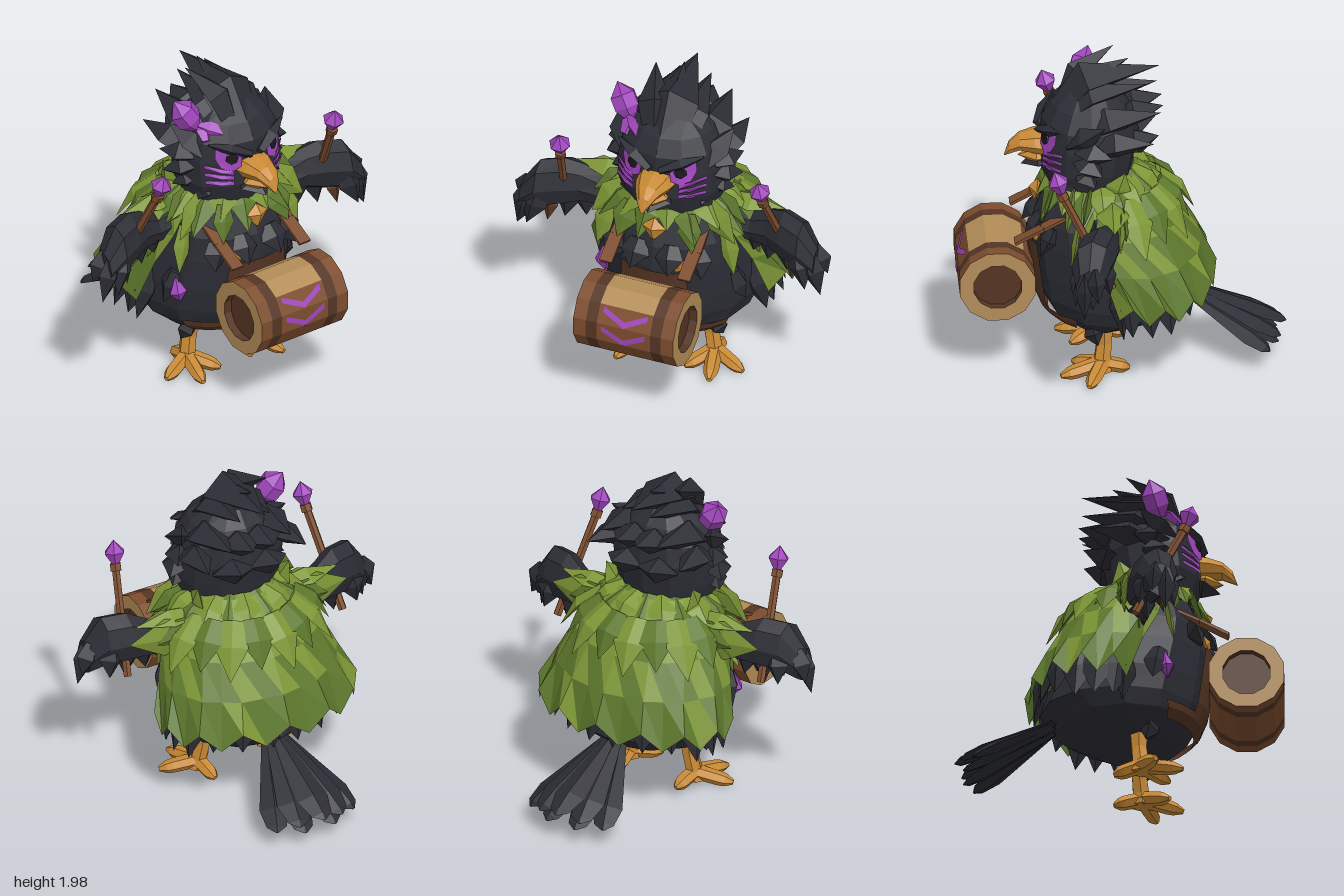
import * as THREE from 'three';
import { mergeGeometries } from 'three/addons/utils/BufferGeometryUtils.js';

const V = (x, y, z) => new THREE.Vector3(x, y, z);
const X = V(1, 0, 0), Y = V(0, 1, 0), Z = V(0, 0, 1);

// Faceted geometry from a list of triangles
function geo(tris) {
  const pos = [];
  for (const [a, b, c] of tris) {
    const area = b.clone().sub(a).cross(c.clone().sub(a)).length();
    if (area > 1e-8) for (const p of [a, b, c]) pos.push(p.x, p.y, p.z);
  }
  const g = new THREE.BufferGeometry();
  g.setAttribute('position', new THREE.Float32BufferAttribute(pos, 3));
  return g;
}

// Skin elliptical sections [x, y, z, radiusAlongS, radiusAlongN]
function loft(sections, s, n, sides = 8) {
  const rings = sections.map(([x, y, z, a, b]) => Array.from({ length: sides }, (_, i) => {
    const t = (i / sides) * Math.PI * 2;
    return V(x, y, z).addScaledVector(s, a * Math.cos(t)).addScaledVector(n, b * Math.sin(t));
  }));
  const last = rings.length - 1, mid = k => V(...sections[k].slice(0, 3)), tris = [];
  const flip = s.clone().cross(n).dot(mid(last).sub(mid(0))) < 0;
  for (let i = 0; i < sides; i++) {
    const j = (i + 1) % sides;
    for (let k = 0; k < last; k++) {
      const p = rings[k], q = rings[k + 1];
      tris.push([p[i], p[j], q[j]], [p[i], q[j], q[i]]);
    }
    tris.push([mid(0), rings[0][j], rings[0][i]], [mid(last), rings[last][i], rings[last][j]]);
  }
  return geo(flip ? tris.map(([a, b, c]) => [a, c, b]) : tris);
}

const FEATHER = [[0, 0.6], [0.45, 1], [1, 0]];
const BLUNT = [[0, 0.35], [0.75, 1], [0.94, 0.65], [1, 0.1]];
const CRYSTAL = [[0, 0.15], [0.55, 1], [1, 0]];
const ROD = [[0, 1], [1, 1]];

// Tapered piece from a to b: half width w, half thickness t, flat side facing hint
function spike(a, b, w, t, { hint = Z, bend = 0, sides = 4, profile = FEATHER } = {}) {
  const A = V(...a), B = V(...b), d = B.clone().sub(A).normalize();
  const s = hint.clone().cross(d).normalize(), n = d.clone().cross(s);
  const rows = profile.map(([u, k]) => {
    const p = A.clone().lerp(B, u).addScaledVector(n, bend * Math.sin(Math.PI * u));
    return [p.x, p.y, p.z, w * k, t * k];
  });
  return loft(rows, s, n, sides);
}

// Open curved sheet, rows [y, rx, centreZ, rz], angle measured from the front
function shell(rows, a0, a1, cols, hem = 0) {
  const grid = rows.map(([y, rx, cz, rz], k) => Array.from({ length: cols + 1 }, (_, i) => {
    const a = a0 + ((a1 - a0) * i) / cols, end = k === rows.length - 1, odd = i % 2 ? 1 : -1;
    const f = 1 + (hem ? 0.025 * odd * k / rows.length : 0);
    return V(rx * f * Math.sin(a), y + (end ? hem * odd : 0), cz + rz * f * Math.cos(a));
  }));
  const tris = [];
  for (let k = 0; k < rows.length - 1; k++) for (let i = 0; i < cols; i++) {
    const p = grid[k], q = grid[k + 1];
    tris.push([p[i], q[i], q[i + 1]], [p[i], q[i + 1], p[i + 1]]);
  }
  return tris;
}

// Head and body rings: y, half width, back z, front z
const HEAD = [[1.12, 0.22, 0, 0.4], [1.22, 0.3, -0.05, 0.46], [1.35, 0.34, -0.07, 0.5], [1.5, 0.34, -0.1, 0.49],
  [1.62, 0.31, -0.08, 0.48], [1.72, 0.25, -0.03, 0.42], [1.81, 0.13, 0.05, 0.33]];
const BODY = [[0.24, 0.14, 0, 0.24], [0.3, 0.29, -0.12, 0.34], [0.4, 0.42, -0.36, 0.45], [0.5, 0.46, -0.47, 0.5],
  [0.65, 0.46, -0.42, 0.52], [0.85, 0.42, -0.32, 0.54], [1, 0.38, -0.2, 0.52], [1.15, 0.3, -0.12, 0.46], [1.25, 0.24, -0.05, 0.4]];
const upright = rows => loft(rows.map(([y, rx, z0, z1]) => [0, y, (z0 + z1) / 2, (z1 - z0) / 2, rx]), Z, X, 12);

// Front surface depth of the head, used to lay face paint on it
function faceZ(x, y) {
  const k = HEAD.findIndex((r, i) => i < HEAD.length - 1 && y <= HEAD[i + 1][0]);
  const t = (y - HEAD[k][0]) / (HEAD[k + 1][0] - HEAD[k][0]);
  const [, rx, z0, z1] = HEAD[k].map((v, i) => v + (HEAD[k + 1][i] - v) * t);
  return (z0 + z1) / 2 + ((z1 - z0) / 2) * Math.sqrt(Math.max(0, 1 - (x / rx) ** 2));
}
const flat = pts => new THREE.ShapeGeometry(new THREE.Shape(pts.map(p => new THREE.Vector2(...p))));
function paint(pts, lift) {
  const g = flat(pts), p = g.attributes.position;
  for (let i = 0; i < p.count; i++) p.setZ(i, faceZ(p.getX(i), p.getY(i)) + lift);
  return g;
}

export function createModel() {
  const root = new THREE.Group();
  root.name = 'birdDrummer';
  const mat = (name, color, side = THREE.FrontSide) => Object.assign(new THREE.MeshStandardMaterial({ color, side }), { name });
  const black = mat('charcoal feathers', 0x2c2d35), ink = mat('eye black', 0x17171c);
  const leafLight = mat('light leaf green', 0x7d9636, THREE.DoubleSide), leafDark = mat('dark leaf green', 0x5d782c, THREE.DoubleSide);
  const purple = mat('purple', 0xa046bc, THREE.DoubleSide), orange = mat('beak orange', 0xc98a35), tan = mat('pale wood', 0xb38d58);
  const brown = mat('brown wood', 0x7d4d2e, THREE.DoubleSide), dark = mat('dark wood', 0x553524, THREE.DoubleSide);

  const part = (name, material, geos) => {
    const clean = geos.map(g => {
      const f = g.index ? g.toNonIndexed() : g;
      f.deleteAttribute('uv');
      f.computeVertexNormals();
      return f;
    });
    const mesh = new THREE.Mesh(mergeGeometries(clean), material);
    mesh.name = name;
    root.add(mesh);
  };
  const both = fn => [1, -1].flatMap(fn);

  // Body with chest, hip and flank tufts
  part('body', black, [upright(BODY), ...both(m => [
    spike([m * 0.1, 1.02, 0.49], [m * 0.12, 0.86, 0.59], 0.09, 0.04),
    spike([m * 0.24, 0.98, 0.42], [m * 0.3, 0.83, 0.5], 0.09, 0.05),
    spike([m * 0.4, 0.76, 0.24], [m * 0.46, 0.55, 0.2], 0.08, 0.05, { hint: X }),
    spike([m * 0.25, 0.34, 0.2], [m * 0.3, 0.22, 0.16], 0.07, 0.06),
    spike([m * 0.41, 0.72, 0.06], [m * 0.52, 0.37, 0.02], 0.1, 0.06),
  ])]);

  // Head, crest and cheek tufts: base, tip, half width, half thickness, bend
  const up = { hint: Y };
  const tufts = [
    [[0.1, 1.62, 0.4], [0.1, 1.86, -0.14], 0.12, 0.08, 0.08], [[0.2, 1.55, 0.32], [0.2, 1.72, -0.22], 0.13, 0.09, 0.05],
    [[0.27, 1.5, 0.22], [0.33, 1.58, -0.17], 0.1, 0.08, 0.03], [[0.07, 1.6, 0.05], [0.07, 1.7, -0.24], 0.14, 0.08, 0.02],
    [[0.1, 1.45, 0.02], [0.13, 1.53, -0.21], 0.14, 0.08, 0], [[0.24, 1.54, 0.32], [0.355, 1.7, 0.12], 0.1, 0.07, 0],
    [[0.27, 1.52, 0.27], [0.4, 1.52, 0.08], 0.09, 0.07, 0], [[0.27, 1.46, 0.27], [0.42, 1.41, 0.14], 0.09, 0.07, 0],
    [[0.26, 1.38, 0.26], [0.38, 1.32, 0.18], 0.08, 0.06, 0], [[0.2, 1.34, 0.32], [0.3, 1.23, 0.3], 0.08, 0.06, 0],
  ];
  part('head', black, [upright(HEAD),
    spike([0, 1.58, 0.44], [-0.02, 1.92, -0.22], 0.17, 0.11, { ...up, bend: 0.15 }),
    spike([-0.06, 1.66, 0.36], [-0.18, 1.98, 0.04], 0.1, 0.08, { ...up, bend: 0.08 }),
    spike([0, 1.68, 0.32], [-0.03, 1.97, -0.04], 0.1, 0.08, { ...up, bend: 0.07 }),
    spike([0, 1.36, 0.42], [0, 1.3, 0.6], 0.11, 0.06, up),
    ...both(m => tufts.map(([[x, y, z], [u, v, w], a, b, bend]) => spike([m * x, y, z], [m * u, v, w], a, b, { ...up, bend }))),
  ]);
  part('brows', black, both(m => spike([m * 0.03, 1.545, 0.5], [m * 0.27, 1.64, 0.39], 0.035, 0.05, { profile: [[0, 0.6], [0.5, 1], [1, 0.2]] })));

  // Face paint and eyes
  const side = (m, pts) => pts.map(([x, y]) => [m * x, y]);
  part('facePaint', purple, both(m => [
    paint(side(m, [[0.09, 1.54], [0.1, 1.48], [0.15, 1.455], [0.21, 1.48], [0.235, 1.54], [0.23, 1.6], [0.16, 1.59]]), 0.01),
    ...[[1.43, 1.475], [1.4, 1.425], [1.365, 1.375]].map(([a, b]) =>
      paint(side(m, [[0.145, a], [0.21, (a + b) / 2 - 0.004], [0.285, b], [0.285, b + 0.022], [0.21, (a + b) / 2 + 0.024], [0.145, a + 0.026]]), 0.012)),
  ]));
  part('eyes', ink, both(m => paint(side(m, [[0.115, 1.55], [0.13, 1.515], [0.16, 1.505], [0.19, 1.53], [0.185, 1.56], [0.15, 1.575]]), 0.018)));

  // Hooked beak
  part('beak', orange, [
    loft([[0, 1.45, 0.4, 0.13, 0.09], [0, 1.455, 0.52, 0.11, 0.07], [0, 1.45, 0.61, 0.075, 0.05], [0, 1.41, 0.67, 0.04, 0.04], [0, 1.36, 0.7, 0.004, 0.004]], X, Y, 8),
    spike([0, 1.37, 0.42], [0, 1.36, 0.62], 0.09, 0.055, { ...up, sides: 6 }),
  ]);

  // Leaf cape in two greens
  const cols = 18, cape = shell([[1.28, 0.26, 0.12, 0.22], [1.18, 0.39, 0.1, 0.34], [1, 0.48, 0.04, 0.4], [0.8, 0.56, -0.06, 0.41], [0.57, 0.64, -0.15, 0.4]],
    Math.PI - 2.1, Math.PI + 2.1, cols, 0.055);
  // Light streaks of uneven length run down from the shoulders
  const isLight = i => Math.floor(i / (2 * cols)) < [4, 2, 3, 1, 3, 2, 1][Math.floor((i % (2 * cols) + 1) / 2) % 7];
  part('capeLight', leafLight, [geo(cape.filter((_, i) => isLight(i)))]);
  part('capeDark', leafDark, [geo(cape.filter((_, i) => !isLight(i)))]);

  // Leaf collar, a second row over the back, and sleeves
  const leaves = [[], []];
  for (let i = 0; i < 18; i++) {
    const a = ((i + 0.5) / 18) * Math.PI * 2, s = Math.sin(a), c = Math.cos(a);
    const hint = V(s, 1, c), long = i % 2 ? 0.04 : 0;
    leaves[i % 2].push(spike([0.22 * s, 1.29, 0.15 + 0.21 * c], [(0.48 + long) * s, 1.13 - long * 2, 0.13 + (0.39 + long) * c], 0.085, 0.03, { hint, bend: 0.02 }));
    if (c < 0.2) leaves[(i + 1) % 2].push(spike([0.35 * s, 1.21, 0.1 + 0.32 * c], [(0.56 + long) * s, 0.96 - long, 0.06 + (0.46 + long) * c], 0.1, 0.03, { hint, bend: 0.03 }));
  }
  both(m => {
    leaves[0].push(spike([m * 0.28, 1.17, 0.08], [m * 0.69, 1.17, 0.09], 0.1, 0.06, up), spike([m * 0.36, 1.08, 0.28], [m * 0.44, 0.79, 0.33], 0.07, 0.02),
      spike([m * 0.33, 1.08, 0.02], [m * 0.74, 1.08, 0.06], 0.13, 0.03), spike([m * 0.24, 1.25, 0.3], [m * 0.46, 1.04, 0.36], 0.1, 0.03),
      spike([m * 0.28, 1.18, 0.07], [m * 0.31, 1.38, 0], 0.08, 0.03, { hint: X }));
    leaves[1].push(spike([m * 0.3, 1.13, 0.02], [m * 0.58, 1.06, 0.01], 0.1, 0.04), spike([m * 0.36, 1.1, 0.14], [m * 0.52, 0.84, 0.12], 0.1, 0.03),
      spike([m * 0.18, 1.22, 0.42], [m * 0.24, 1.0, 0.5], 0.08, 0.02), spike([m * 0.26, 1.25, 0.2], [m * 0.49, 1.12, 0.26], 0.09, 0.03));
    return [];
  });
  part('collarLeavesLight', leafLight, leaves[0]);
  part('collarLeavesDark', leafDark, leaves[1]);

  // Dark feathers below the cape hem
  part('hemFeathers', black, both(m => [0.15, 0.5, 0.85, 1.2, 1.5, 1.8].map((a, i) => {
    const s = m * Math.sin(a), c = -Math.cos(a);
    return spike([0.48 * s, 0.76, -0.08 + 0.36 * c], [0.56 * s, 0.4 + 0.07 * (i < 3), -0.12 + 0.39 * c], 0.11, 0.04, { hint: V(s, 0, c) });
  })));

  // Wings with hanging finger feathers
  const fingers = [[0.9, 1.06, 0.22, 0.985, 0.87, 0.2], [0.88, 1.06, 0.28, 0.97, 0.76, 0.28], [0.82, 1.06, 0.28, 0.89, 0.81, 0.33],
    [0.76, 1.06, 0.2, 0.8, 0.86, 0.24], [0.68, 1.06, 0.16, 0.71, 0.8, 0.17], [0.6, 1.06, 0.15, 0.58, 0.83, 0.15], [0.5, 1.04, 0.13, 0.49, 0.87, 0.15], [0.8, 1.06, 0.16, 0.84, 0.85, 0.12]];
  part('wings', black, both(m => [
    loft([[0.28, 1.07, 0.12, 0.11, 0.11], [0.48, 1.03, 0.12, 0.1, 0.09], [0.6, 1.06, 0.14, 0.13, 0.1], [0.7, 1.07, 0.18, 0.16, 0.12],
      [0.84, 1.05, 0.23, 0.165, 0.12], [0.94, 0.96, 0.25, 0.11, 0.08]].map(([x, ...r]) => [m * x, ...r]), Y, Z, 8),
    ...fingers.map(([x, y, z, u, v, w]) => spike([m * x, y, z], [m * u, v, w], 0.08, 0.06)),
  ]));
  part('wingLinings', dark, both(m => spike([m * 0.77, 1.0, 0.22], [m * 0.78, 0.82, 0.27], 0.05, 0.03)));

  // Crystal mallets
  part('malletSticks', brown, both(m => [
    spike([m * 0.73, 0.84, 0.1], [m * 0.645, 1.44, 0.4], 0.026, 0.026, { sides: 6, profile: ROD }),
    spike([m * 0.65, 1.4, 0.38], [m * 0.645, 1.44, 0.4], 0.036, 0.036, { sides: 6, profile: ROD }),
  ]));
  const gem = { sides: 6, profile: CRYSTAL };
  part('malletCrystals', purple, both(m => spike([m * 0.645, 1.42, 0.39], [m * 0.635, 1.58, 0.44], 0.066, 0.066, gem)));

  // Head ornament, hip crystal and pendant
  part('headOrnament', purple, [
    spike([-0.25, 1.69, 0.25], [-0.37, 1.88, 0.18], 0.092, 0.092, { sides: 6, profile: [[0, 0.35], [0.3, 0.9], [0.65, 0.9], [1, 0]] }),
    spike([-0.15, 1.67, 0.38], [-0.29, 1.73, 0.25], 0.055, 0.03), spike([-0.25, 1.64, 0.35], [-0.22, 1.74, 0.24], 0.055, 0.03),
  ]);
  part('hipCrystal', purple, [spike([-0.42, 0.73, 0.27], [-0.4, 0.57, 0.29], 0.062, 0.05, gem)]);
  part('pendant', orange, [spike([0, 1.06, 0.52], [0, 1.2, 0.5], 0.08, 0.045, { profile: CRYSTAL })]);

  // Apron and belt behind the drum, hooks and shoulder straps
  part('apron', dark, [
    geo(shell([[0.86, 0.42, 0.12, 0.45], [0.65, 0.47, 0.06, 0.49], [0.5, 0.47, 0.03, 0.5], [0.4, 0.44, 0.06, 0.43]], -0.5, 0.5, 6)),
    geo(shell([[0.44, 0.46, 0.04, 0.46], [0.4, 0.44, 0.06, 0.43], [0.35, 0.37, 0.1, 0.34]], -1, 1, 8)),
  ]);
  part('strapHooks', orange, both(m => spike([m * 0.14, 0.88, 0.53], [m * 0.2, 0.94, 0.5], 0.035, 0.025)));
  part('straps', brown, both(m => [[[0.24, 1.08, 0.32], [0.25, 1.0, 0.48]], [[0.25, 1.0, 0.48], [0.25, 0.91, 0.65]]].map(([a, b]) => {
    const A = V(m * a[0], a[1], a[2]), B = V(m * b[0], b[1], b[2]), o = new THREE.Object3D();
    o.position.copy(A).lerp(B, 0.5);
    o.lookAt(B);
    o.updateMatrix();
    return new THREE.BoxGeometry(0.08, 0.018, A.distanceTo(B)).applyMatrix4(o.matrix);
  })));

  // Drum lying along x
  const R = 0.23, rad = Math.PI / 180, at = g => g.translate(0, 0.645, 0.755);
  const band = (x0, x1, start = 15, len = 360, r = R) => at(new THREE.CylinderGeometry(r, r, x1 - x0, len / 30, 1, true, start * rad, len * rad)
    .rotateZ(-Math.PI / 2).translate((x0 + x1) / 2, 0, 0));
  part('drumShell', brown, [band(-0.17, 0.17, -45, 270), band(-0.32, -0.24), band(0.24, 0.32)]);
  part('drumBands', dark, [band(-0.24, -0.17), band(0.17, 0.24)]);
  part('drumTopPanel', tan, [band(-0.17, 0.17, -135, 90)]);
  part('drumRims', tan, both(m => at(new THREE.RingGeometry(0.145, R, 12, 1, 15 * rad).rotateY(m * Math.PI / 2).translate(m * 0.32, 0, 0))));
  part('drumHollow', dark, [band(-0.32, 0.32, 15, 360, 0.145),
    ...both(m => at(new THREE.CircleGeometry(0.145, 12, 15 * rad).rotateY(m * Math.PI / 2).translate(m * 0.27, 0, 0)))]);
  const chevron = tilt => at(flat([[-0.14, 0.048], [-0.14, 0.012], [0, -0.058], [0.14, 0.012], [0.14, 0.048], [0, -0.02]])
    .translate(0, 0, R * Math.cos(15 * rad) + 0.006).rotateX(-tilt * rad));
  part('drumChevrons', purple, [chevron(30), chevron(0)]);

  // Legs and clawed feet
  part('legs', orange, both(m => [
    loft([[m * 0.2, 0.3, 0.12, 0.06, 0.06], [m * 0.21, 0.2, 0.12, 0.05, 0.05], [m * 0.23, 0.1, 0.13, 0.05, 0.055], [m * 0.24, 0.03, 0.14, 0.07, 0.07]], X, Z, 6),
    ...[[0.45, 0.22], [0.3, 0.38], [0.11, 0.3], [0.21, -0.03]].map(([x, z]) =>
      spike([m * 0.235, 0.075, 0.13], [m * x, 0.025, z], 0.055, 0.05, { ...up, sides: 6, profile: [[0, 0.9], [0.65, 0.85], [0.8, 0.75], [1, 0.3]] })),
  ]));

  // Tail fan
  const fan = { ...up, profile: BLUNT };
  part('tail', black, [spike([0, 0.47, -0.38], [0, 0.2, -0.97], 0.1, 0.035, fan), ...both(m => [
    spike([m * 0.03, 0.46, -0.38], [m * 0.14, 0.17, -0.93], 0.1, 0.035, fan),
    spike([m * 0.06, 0.43, -0.38], [m * 0.26, 0.13, -0.86], 0.09, 0.035, fan),
    spike([m * 0.04, 0.41, -0.38], [m * 0.1, 0.11, -0.92], 0.09, 0.03, fan),
  ])]);
  return root;
}
